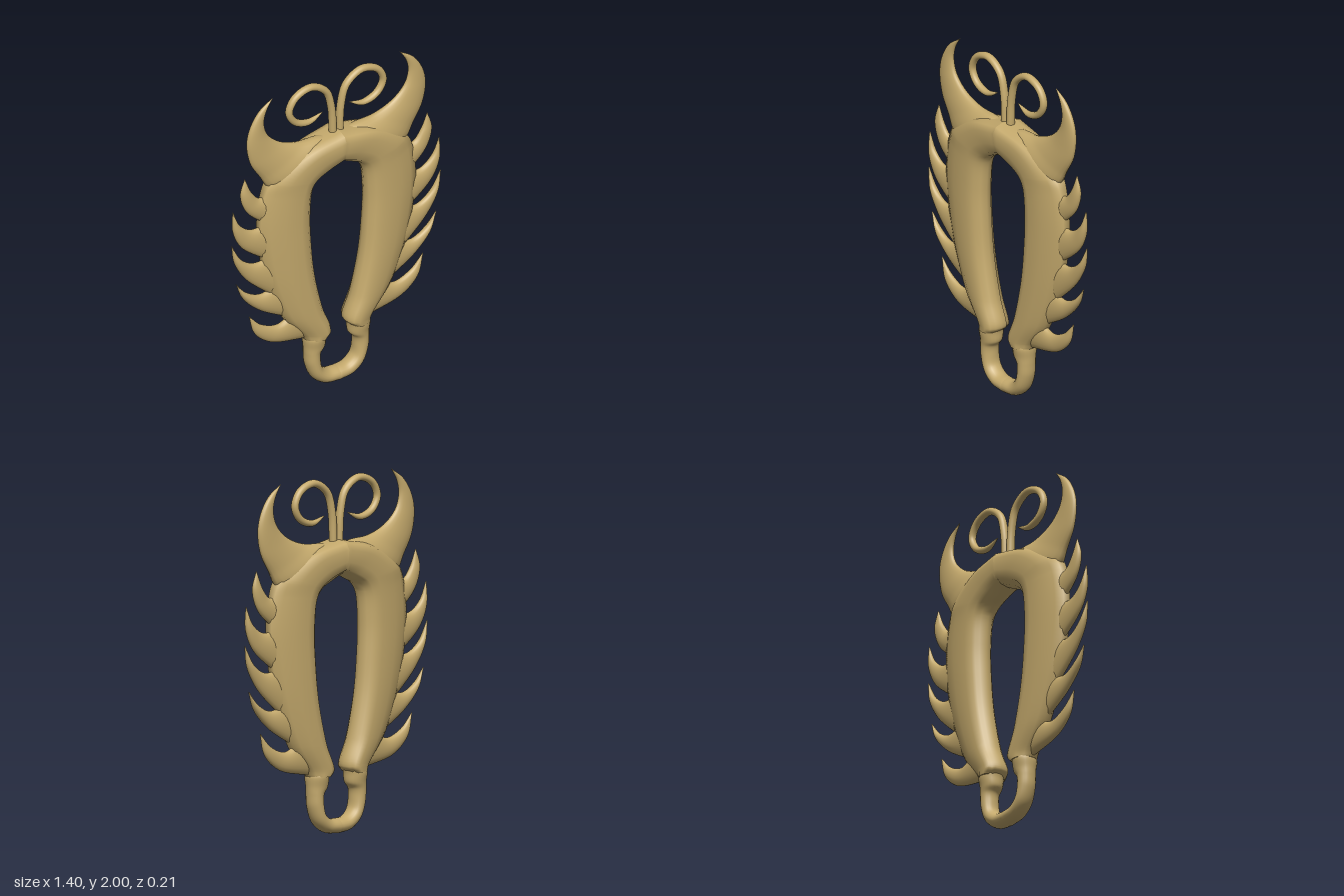
import * as THREE from 'three';

const brass = new THREE.MeshStandardMaterial({ color: 0xc4a96c });
brass.name = 'brass';

const spline = (pts) => new THREE.CatmullRomCurve3(
  pts.map(([x, y, z = 0]) => new THREE.Vector3(x, y, z)), false, 'centripetal');

// Rounded section: u runs from the inner to the outer edge, z is a share of the half thickness
const ellipse = Array.from({ length: 20 }, (_, i) => {
  const a = (i / 20) * Math.PI * 2;
  return [0.5 - 0.5 * Math.cos(a), Math.sin(a)];
});

// Side panel section, with a channel at the back of its inner edge
const panel = [[0, 0], [0.03, 0.45], [0.12, 0.8], [0.28, 1], [0.6, 0.95], [0.85, 0.6], [1, 0.28],
  [1, -0.28], [0.85, -0.6], [0.6, -0.95], [0.3, -1], [0.14, -0.9], [0.13, -0.62], [0.04, -0.5]];
// Arch section at the top
const arch = [[0, 0], [0.05, 0.5], [0.15, 0.8], [0.4, 0.93], [0.75, 1], [0.93, 0.82], [1, 0.45],
  [1, -0.45], [0.93, -0.82], [0.75, -1], [0.4, -0.95], [0.18, -0.85], [0.15, -0.65], [0.05, -0.5]];

// Skin between an inner and an outer curve; the inner curve's z holds the half thickness
function loft(innerPts, outerPts, steps, section = () => ellipse) {
  const inner = spline(innerPts), outer = spline(outerPts);
  const pos = [], idx = [];
  const n = section(0).length;
  for (let i = 0; i <= steps; i++) {
    const t = i / steps, a = inner.getPoint(t), b = outer.getPoint(t);
    for (const [u, z] of section(t)) {
      pos.push(a.x + (b.x - a.x) * u, a.y + (b.y - a.y) * u, a.z * z);
    }
  }
  for (let i = 0; i < steps; i++) {
    for (let j = 0; j < n; j++) {
      const k = (j + 1) % n, p = i * n, q = p + n;
      idx.push(p + j, q + j, q + k, p + j, q + k, p + k);
    }
  }
  // End caps on their own corners
  for (const [row, flip] of [[0, false], [steps, true]]) {
    const base = pos.length / 3;
    pos.push(...pos.slice(row * n * 3, (row + 1) * n * 3));
    for (let j = 1; j < n - 1; j++) {
      if (flip) idx.push(base, base + j + 1, base + j);
      else idx.push(base, base + j, base + j + 1);
    }
  }
  // Turn the faces outward
  const v = (i) => new THREE.Vector3().fromArray(pos, i * 3);
  let volume = 0;
  for (let i = 0; i < idx.length; i += 3) {
    volume += v(idx[i]).dot(v(idx[i + 1]).cross(v(idx[i + 2])));
  }
  if (volume < 0) idx.reverse();
  const geo = new THREE.BufferGeometry();
  geo.setAttribute('position', new THREE.Float32BufferAttribute(pos, 3));
  geo.setIndex(idx);
  geo.computeVertexNormals();
  return geo;
}

function mirrored(geo) {
  const copy = geo.clone().scale(-1, 1, 1);
  copy.setIndex(Array.from(geo.index.array).reverse());
  copy.computeVertexNormals();
  return copy;
}

export function createModel() {
  const group = new THREE.Group();
  const addPair = (name, geo) => {
    for (const [side, g] of [['left', geo], ['right', mirrored(geo)]]) {
      const mesh = new THREE.Mesh(g, brass);
      mesh.name = side + name;
      group.add(mesh);
    }
  };

  // Side panels rising into the top arch
  addPair('Body', loft(
    [[0.088, 0.335, 0.078], [0.056, 0.37, 0.08], [0.105, 0.52, 0.08], [0.158, 0.76, 0.08],
      [0.18, 0.97, 0.08], [0.187, 1.17, 0.08], [0.168, 1.34, 0.083], [0.13, 1.39, 0.088],
      [0.07, 1.42, 0.096], [0, 1.455, 0.107]],
    [[0.215, 0.34], [0.235, 0.375], [0.35, 0.52], [0.45, 0.76], [0.5, 0.97], [0.52, 1.19],
      [0.495, 1.38], [0.45, 1.465], [0.25, 1.595], [0, 1.65]],
    72,
    (t) => {
      const s = THREE.MathUtils.smoothstep(t, 0.62, 0.95);
      return panel.map(([u, z], i) => [u + (arch[i][0] - u) * s, z + (arch[i][1] - z) * s]);
    }));

  // Large horns at the upper corners
  addPair('Horn', loft(
    [[0, 1.6, 0.085], [0.1, 1.637, 0.075], [0.25, 1.65, 0.052], [0.38, 1.70, 0.036],
      [0.46, 1.775, 0.028], [0.485, 1.86, 0.023], [0.468, 1.935, 0.016], [0.425, 2.0, 0.003]],
    [[0.40, 1.40], [0.465, 1.435], [0.51, 1.51], [0.575, 1.62], [0.598, 1.75],
      [0.575, 1.85], [0.515, 1.94], [0.428, 2.0]], 48));

  // Curved spikes down each flank: upper edge, then lower edge
  const spikes = [
    [[[0.42, 1.39], [0.51, 1.372], [0.567, 1.43], [0.61, 1.53]],
      [[0.42, 1.15], [0.60, 1.31], [0.64, 1.43], [0.613, 1.532]]],
    [[[0.42, 1.2], [0.56, 1.182], [0.645, 1.24], [0.69, 1.34]],
      [[0.42, 0.92], [0.635, 1.09], [0.69, 1.21], [0.693, 1.342]]],
    [[[0.40, 0.98], [0.54, 0.955], [0.635, 1.01], [0.698, 1.12]],
      [[0.40, 0.68], [0.605, 0.87], [0.68, 1.0], [0.701, 1.122]]],
    [[[0.36, 0.78], [0.505, 0.738], [0.605, 0.785], [0.668, 0.86]],
      [[0.32, 0.52], [0.52, 0.64], [0.625, 0.75], [0.671, 0.862]]],
    [[[0.27, 0.56], [0.385, 0.497], [0.50, 0.535], [0.58, 0.615]],
      [[0.20, 0.345], [0.44, 0.40], [0.545, 0.49], [0.583, 0.617]]],
  ];
  spikes.forEach(([upper, lower], i) => {
    const half = [0.04, 0.028, 0.022, 0.004];
    addPair('Spike' + (i + 1), loft(upper.map(([x, y], k) => [x, y, half[k]]), lower, 24));
  });

  // Bottom loop with a small collar under each panel
  addPair('Loop', loft(
    [[0.075, 0.36, 0.07], [0.08, 0.33, 0.072], [0.085, 0.275, 0.062], [0.112, 0.24, 0.056],
      [0.116, 0.19, 0.055], [0.105, 0.13, 0.056], [0.06, 0.092, 0.055], [0, 0.085, 0.054]],
    [[0.208, 0.36], [0.215, 0.335], [0.212, 0.28], [0.21, 0.235],
      [0.204, 0.165], [0.165, 0.07], [0.095, 0.015], [0, 0]], 48));

  // Curled, tapering antennae
  const path = spline([[0.022, 1.62], [0.032, 1.8], [0.07, 1.92], [0.17, 1.98], [0.275, 1.945],
    [0.315, 1.865], [0.275, 1.79], [0.185, 1.758], [0.09, 1.79]]);
  const innerEdge = [], outerEdge = [];
  for (let i = 0; i <= 40; i++) {
    const t = i / 40, p = path.getPoint(t), d = path.getTangent(t);
    const r = t < 0.8 ? 0.022 - 0.002 * t : 0.0204 * (1 - ((t - 0.8) / 0.21) ** 2);
    innerEdge.push([p.x + d.y * r, p.y - d.x * r, r * 1.1]);
    outerEdge.push([p.x - d.y * r, p.y + d.x * r]);
  }
  addPair('Antenna', loft(innerEdge, outerEdge, 80));

  return group;
}
